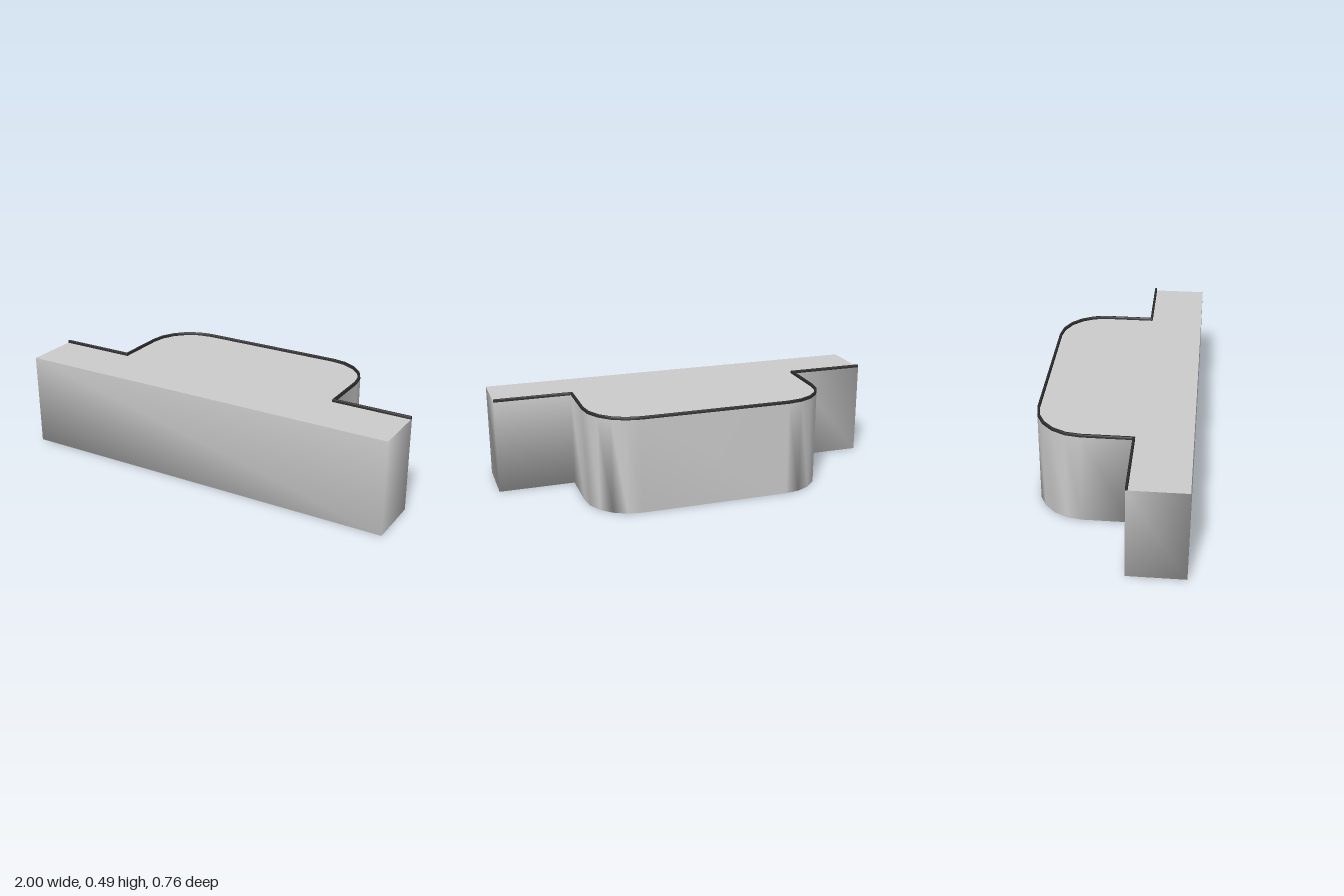
import * as THREE from 'three';
import { mergeVertices, toCreasedNormals } from 'three/addons/utils/BufferGeometryUtils.js';

const HEIGHT = 0.477;   // top of the body
const FRONT = 0.38;     // z of the straight front edge

// Rear outline as [x, z], from the +x end round the rounded bay to the -x end
function rearOutline() {
  const half = [[1, 0.098], [0.612, 0.098]];
  const r = 0.235, steps = 5;
  for (let i = 0; i <= steps; i++) {
    const a = (i / steps) * Math.PI / 2;
    half.push([0.377 + r * Math.cos(a), -0.145 - r * Math.sin(a)]);
  }
  return [...half, ...half.slice().reverse().map(([x, z]) => [-x, z])].map(([x, z]) => new THREE.Vector2(x, z));
}

// Rim: a small rounded section swept along the outline, mitred at the corners
function rimGeometry(path) {
  const section = [[0, 0.477], [0, 0.488], [0.002, 0.491], [0.01, 0.491], [0.012, 0.488], [0.012, 0.477]];
  const n = section.length;
  const inward = (a, b) => {
    const d = b.clone().sub(a).normalize();
    return new THREE.Vector2(d.y, -d.x);
  };
  const positions = [], index = [];
  path.forEach((p, i) => {
    const n1 = inward(path[Math.max(i - 1, 0)], path[Math.max(i, 1)]);
    const last = path.length - 1;
    const n2 = inward(path[Math.min(i, last - 1)], path[Math.min(i + 1, last)]);
    const mitre = n1.clone().add(n2).divideScalar(1 + n1.dot(n2));
    for (const [w, y] of section) positions.push(p.x + mitre.x * w, y, p.y + mitre.y * w);
  });
  for (let i = 0; i < path.length - 1; i++) {
    for (let j = 0; j < n; j++) {
      const a = i * n + j, b = i * n + (j + 1) % n;
      index.push(a, a + n, b, b, a + n, b + n);
    }
  }
  // End caps
  const e = (path.length - 1) * n;
  for (let k = 1; k < n - 1; k++) index.push(0, k, k + 1, e, e + k + 1, e + k);
  const g = new THREE.BufferGeometry();
  g.setAttribute('position', new THREE.Float32BufferAttribute(positions, 3));
  g.setIndex(index);
  return toCreasedNormals(g, Math.PI / 4);
}

// Walls and underside share smooth normals; the top is left off
function shellGeometry(shape) {
  const solid = new THREE.ExtrudeGeometry(shape, { depth: HEIGHT, bevelEnabled: false });
  solid.rotateX(-Math.PI / 2);
  const p = solid.attributes.position.array, kept = [];
  for (let i = 0; i < p.length; i += 9) {
    const isTop = [1, 4, 7].every((k) => p[i + k] > HEIGHT - 1e-4);
    if (!isTop) kept.push(...p.slice(i, i + 9));
  }
  const g = new THREE.BufferGeometry();
  g.setAttribute('position', new THREE.Float32BufferAttribute(kept, 3));
  const merged = mergeVertices(g, 1e-4);
  merged.computeVertexNormals();
  return merged;
}

export function createModel() {
  const group = new THREE.Group();
  const grey = new THREE.MeshStandardMaterial({ color: 0xcccccc });
  const dark = new THREE.MeshStandardMaterial({ color: 0x2b2b2b });
  const add = (name, geometry, material) => {
    const mesh = new THREE.Mesh(geometry, material);
    mesh.name = name;
    group.add(mesh);
  };

  const rear = rearOutline();
  const shape = new THREE.Shape(
    [...rear, new THREE.Vector2(-1, FRONT), new THREE.Vector2(1, FRONT)].map((p) => new THREE.Vector2(p.x, -p.y))
  );

  // Body walls and underside
  add('body', shellGeometry(shape), grey);

  // Flat top surface
  const top = new THREE.ShapeGeometry(shape);
  top.rotateX(-Math.PI / 2).translate(0, HEIGHT, 0);
  add('topSurface', top, grey);

  // Dark raised rim along the rear edge
  add('rearRim', rimGeometry(rear), dark);

  return group;
}
